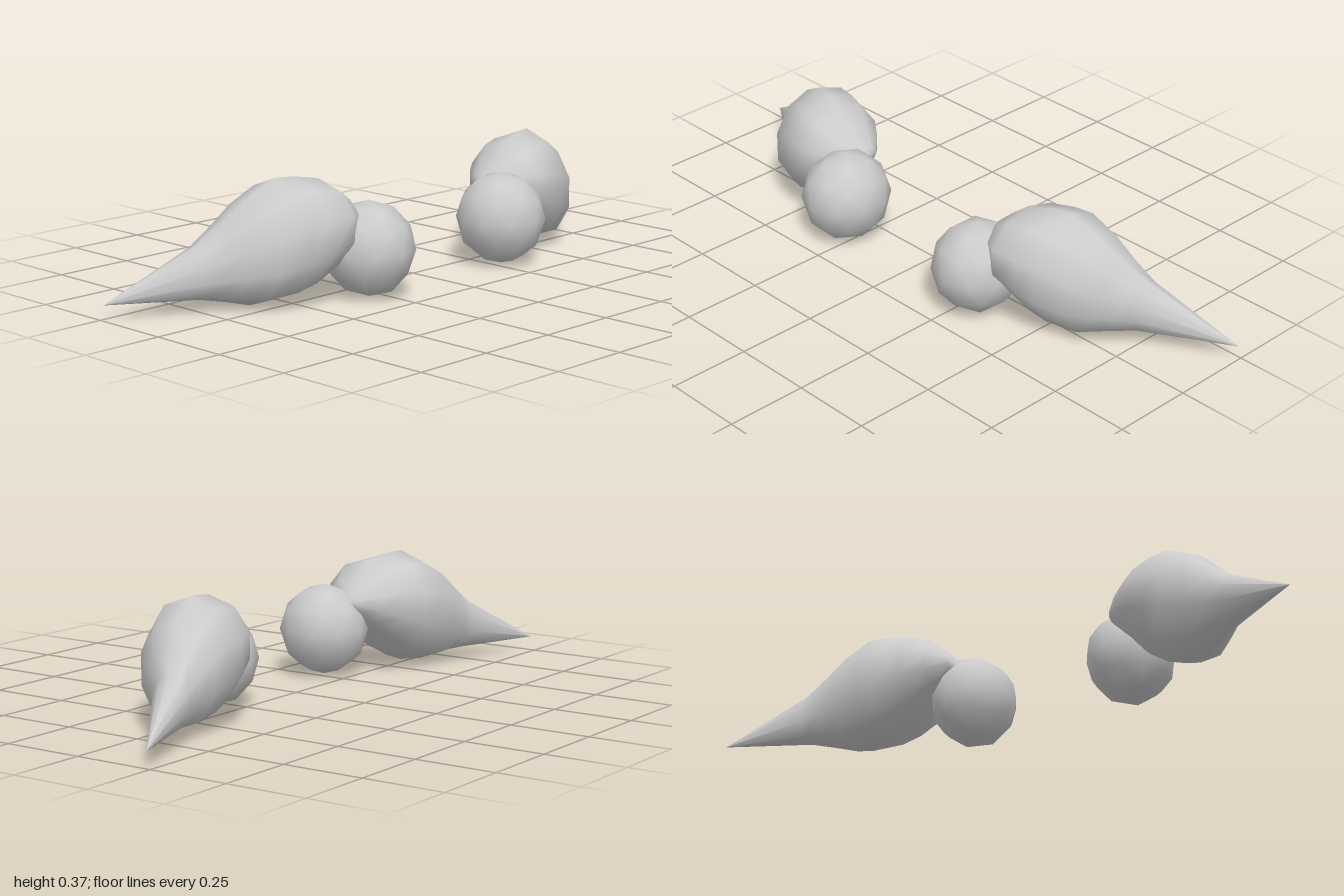
import * as THREE from 'three';

const SIDES = 10;

// Sections along the tapered body: x, y low, y high, z back, z front
const SECTIONS = [
  [0.28, 0.23, 0.23, 0.02, 0.02],
  [0.295, 0.205, 0.265, -0.035, 0.06],
  [0.345, 0.155, 0.31, -0.09, 0.125],
  [0.405, 0.095, 0.357, -0.138, 0.163],
  [0.48, 0.042, 0.37, -0.168, 0.15],
  [0.54, 0.02, 0.373, -0.176, 0.135],
  [0.625, 0.012, 0.325, -0.179, 0.093],
  [0.69, 0.028, 0.262, -0.174, 0.02],
  [0.75, 0.038, 0.2, -0.181, -0.055],
  [1.0, 0.047, 0.047, -0.237, -0.237],
];

// Elliptical loft; side is +1 or -1 and mirrors both x and the ring direction
function loft(sections, side) {
  const positions = [];
  const index = [];
  sections.forEach(([x, y0, y1, z0, z1], i) => {
    for (let j = 0; j < SIDES; j++) {
      const a = (side * j * Math.PI * 2) / SIDES;
      positions.push(
        side * x,
        (y0 + y1) / 2 + ((y1 - y0) / 2) * Math.cos(a),
        (z0 + z1) / 2 + ((z1 - z0) / 2) * Math.sin(a)
      );
      if (i === sections.length - 1) continue;
      const k = (j + 1) % SIDES;
      const p = i * SIDES + j;
      const q = i * SIDES + k;
      if (i > 0) index.push(p, q, p + SIDES);
      else index.push(p, q + SIDES, p + SIDES);
      if (i > 0 && i < sections.length - 2) index.push(q, q + SIDES, p + SIDES);
    }
  });
  const geometry = new THREE.BufferGeometry();
  geometry.setAttribute('position', new THREE.Float32BufferAttribute(positions, 3));
  geometry.setIndex(index);
  geometry.computeVertexNormals();
  return geometry;
}

export function createModel() {
  const model = new THREE.Group();
  model.name = 'taperedPair';
  const material = new THREE.MeshStandardMaterial({ color: 0xcccccc });

  for (const side of [1, -1]) {
    const half = new THREE.Group();
    half.name = side > 0 ? 'leftHalf' : 'rightHalf';

    // Pointed body sweeping outward and back
    const body = new THREE.Mesh(loft(SECTIONS, side), material);
    body.name = 'taperedBody';

    // Low-poly ball at the inner end, standing on one corner
    const ballGeometry = new THREE.IcosahedronGeometry(1, 1);
    ballGeometry.rotateZ(-side * Math.atan(2 / (1 + Math.sqrt(5))));
    ballGeometry.scale(0.134, 0.143, 0.141);
    const ball = new THREE.Mesh(ballGeometry, material);
    ball.name = 'innerBall';
    ball.position.set(side * 0.286, 0.145, 0.098);

    half.add(body, ball);
    model.add(half);
  }
  return model;
}
